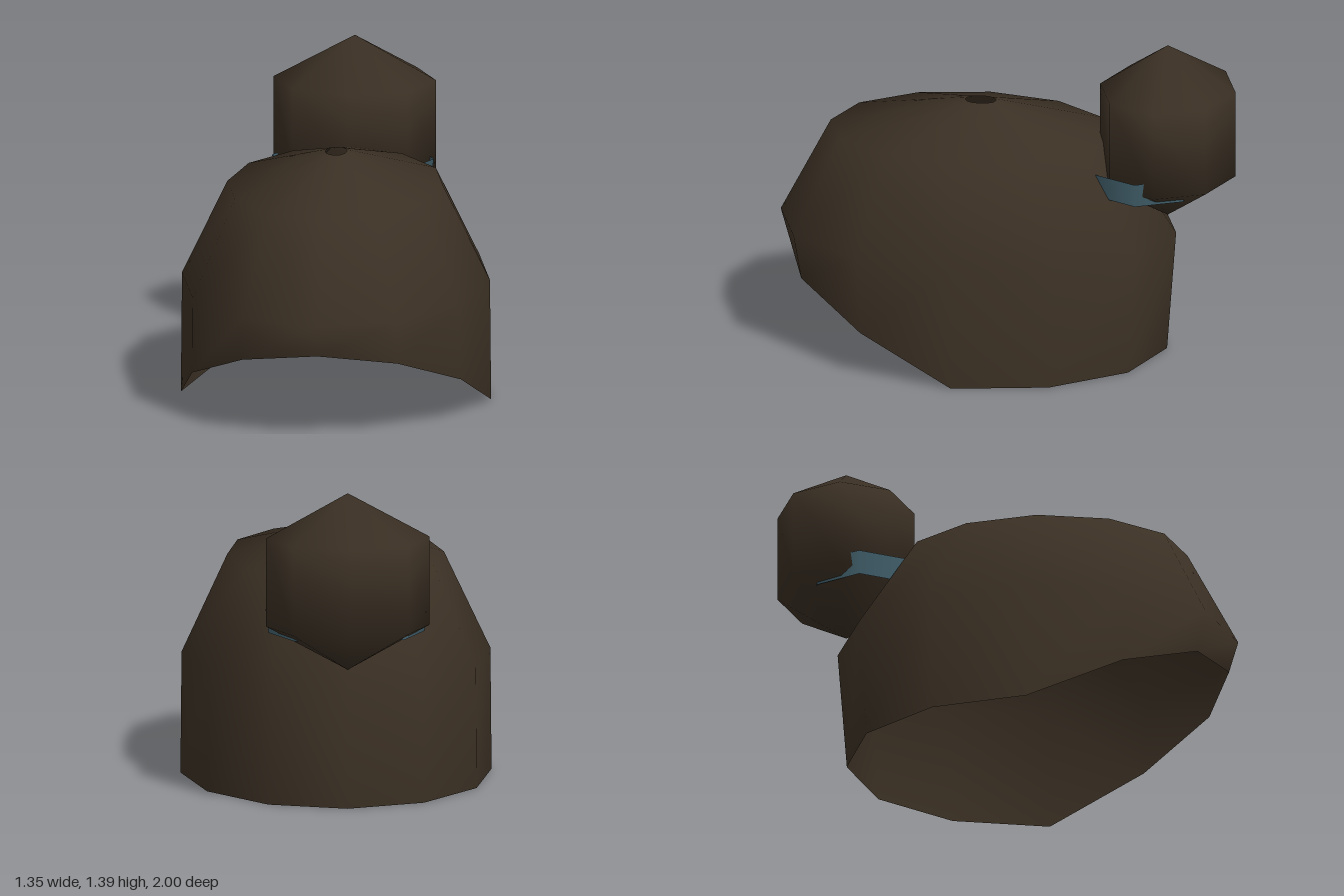
import * as THREE from 'three';

const SIDES = 12;

// Smooth open shell through elliptical rings; lift raises the front half of a ring
function loft(rings) {
  const pos = [], index = [];
  for (const { y, rx, rz, cz, lift = 0 } of rings) {
    for (let i = 0; i < SIDES; i++) {
      const a = (i / SIDES) * Math.PI * 2;
      pos.push(rx * Math.sin(a), y + lift * Math.max(0, Math.cos(a)), cz + rz * Math.cos(a));
    }
  }
  for (let r = 0; r < rings.length - 1; r++) {
    for (let i = 0; i < SIDES; i++) {
      const a = r * SIDES + i, b = r * SIDES + (i + 1) % SIDES;
      index.push(a, b, b + SIDES, a, b + SIDES, a + SIDES);
    }
  }
  const g = new THREE.BufferGeometry();
  g.setAttribute('position', new THREE.Float32BufferAttribute(pos, 3));
  g.setIndex(index);
  g.computeVertexNormals();
  return g;
}

export function createModel() {
  const group = new THREE.Group();
  const hair = new THREE.MeshStandardMaterial({ color: 0x3b3024, side: THREE.DoubleSide });
  hair.name = 'darkBrown';
  const tie = new THREE.MeshStandardMaterial({ color: 0x44636f, side: THREE.DoubleSide });
  tie.name = 'slateBlue';

  const add = (name, geometry, material) => {
    const mesh = new THREE.Mesh(geometry, material);
    mesh.name = name;
    group.add(mesh);
    return mesh;
  };

  // Hair cap: open below, raised over the forehead, small opening at the crown
  add('hairCap', loft([
    { y: 0, rx: 0.675, rz: 0.83, cz: 0.13, lift: 0.395 },
    { y: 0.535, rx: 0.67, rz: 0.87, cz: 0.13 },
    { y: 0.957, rx: 0.47, rz: 0.62, cz: 0.16 },
    { y: 1.092, rx: 0.047, rz: 0.068, cz: 0.12 },
  ]), hair);

  // Bun: coarse squashed ball behind the crown
  const bun = add('bun', new THREE.SphereGeometry(1, 8, 3), hair);
  bun.scale.set(0.409, 0.39, 0.343);
  bun.position.set(0, 1.005, -0.703);

  // Hair tie: open eight-sided band around the base of the bun
  const band = add('hairTie', new THREE.CylinderGeometry(0.352, 0.338, 0.105, 8, 1, true), tie);
  band.scale.z = 0.79;
  band.position.set(0, 0.818, -0.62);

  return group;
}
